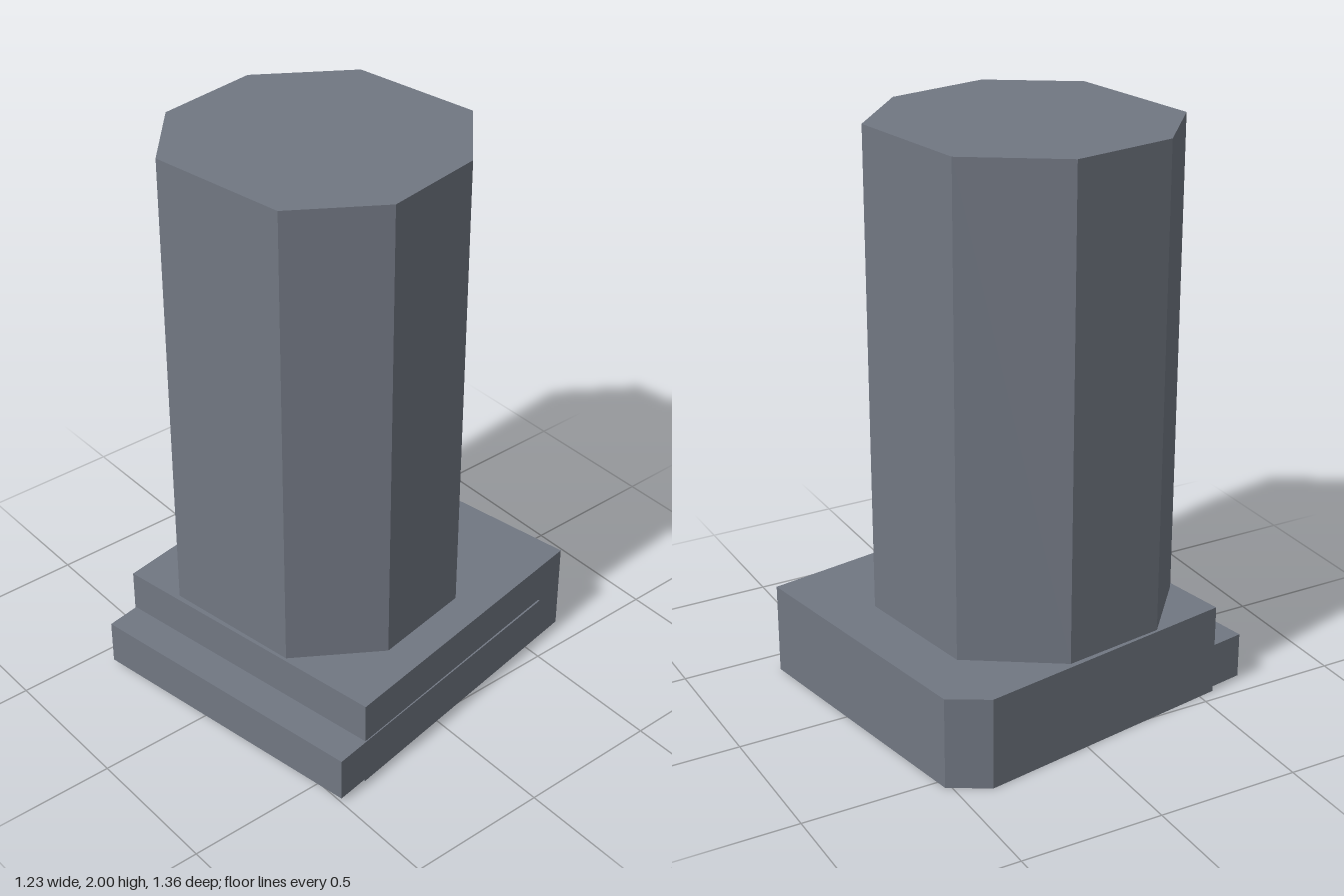
import * as THREE from 'three';

const material = new THREE.MeshStandardMaterial({ color: 0x717782, flatShading: true });

// Upright prism from a ground outline of [x, z] corners
function prism(name, outline, y0, y1) {
  const shape = new THREE.Shape(outline.map(([x, z]) => new THREE.Vector2(x, -z)));
  const geometry = new THREE.ExtrudeGeometry(shape, { depth: y1 - y0, bevelEnabled: false });
  geometry.rotateX(-Math.PI / 2).translate(0, y0, 0);
  const mesh = new THREE.Mesh(geometry, material);
  mesh.name = name;
  return mesh;
}

export function createModel() {
  const group = new THREE.Group();
  group.name = 'tower';

  // Podium with one clipped back corner
  group.add(prism('podium', [
    [-0.54, -0.52], [0.402, -0.683], [0.59, 0.377], [-0.452, 0.56], [-0.617, -0.387],
  ], 0, 0.325));

  // Low slab running through the podium, stepping out at the front
  group.add(prism('lowerStep', [
    [0.43, -0.563], [0.615, 0.498], [-0.427, 0.68], [-0.611, -0.38],
  ], 0.015, 0.177));

  // Tall irregular eight-sided shaft
  group.add(prism('shaft', [
    [-0.342, -0.371], [0.113, -0.446], [0.362, -0.218], [0.425, 0.14],
    [0.24, 0.427], [-0.25, 0.506], [-0.487, 0.3], [-0.542, -0.063],
  ], 0.325, 2));

  return group;
}
